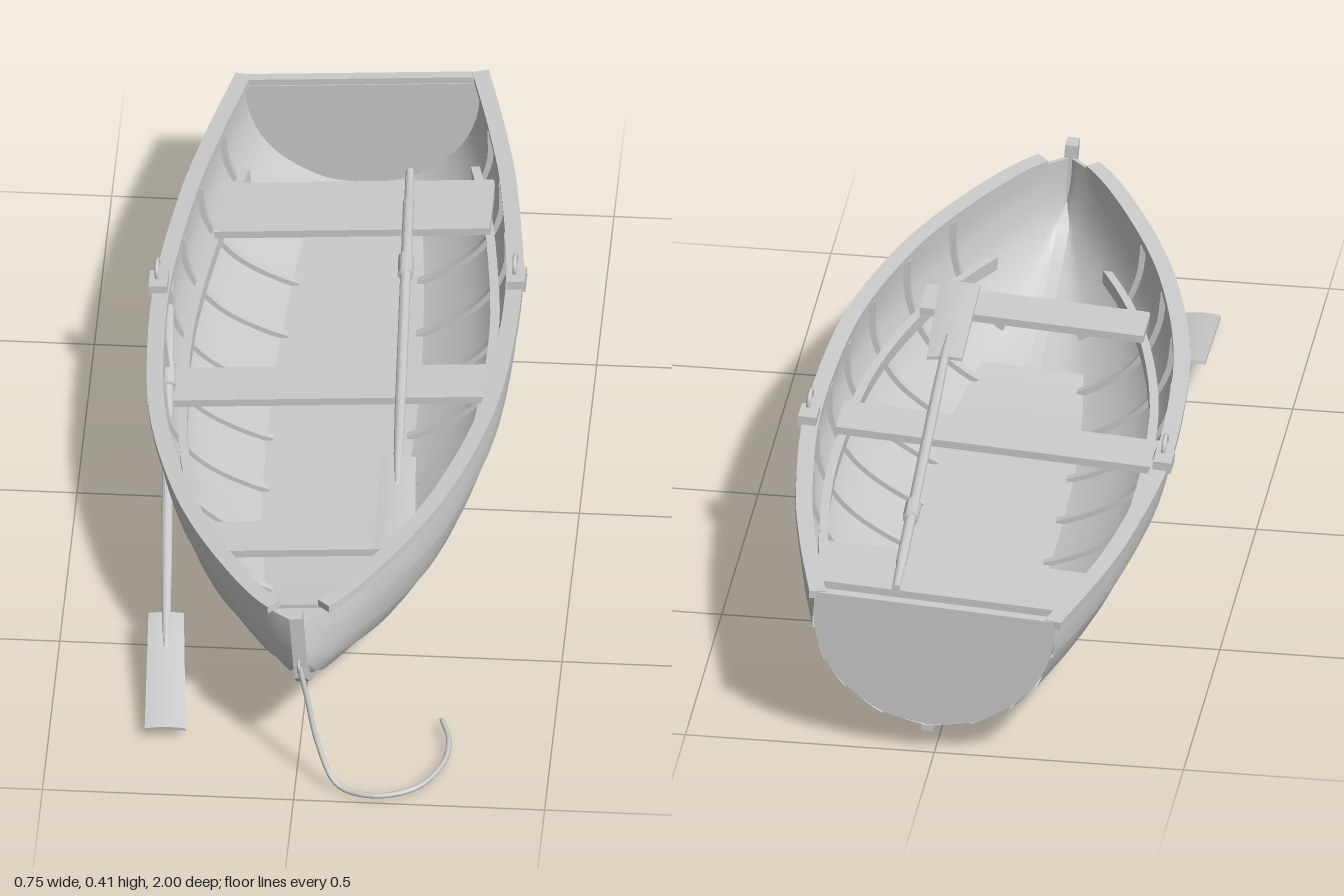
import * as THREE from 'three';
import { toCreasedNormals } from 'three/addons/utils/BufferGeometryUtils.js';

const mat = new THREE.MeshStandardMaterial({ color: 0xcccccc });
const thin = new THREE.MeshStandardMaterial({ color: 0xcccccc, side: THREE.DoubleSide });
const V = (x, y, z) => new THREE.Vector3(x, y, z);
const SIDES = [1, -1];

function add(parent, name, geometry, material = mat, x = 0, y = 0, z = 0) {
  const mesh = new THREE.Mesh(geometry, material);
  mesh.name = name;
  mesh.position.set(x, y, z);
  parent.add(mesh);
  return mesh;
}

// Skin a list of equal-length point rings; closed rings get end caps.
function loft(rings, closed = false) {
  const n = rings[0].length, pos = [], idx = [];
  rings.forEach(r => r.forEach(p => pos.push(p.x, p.y, p.z)));
  for (let i = 0; i < rings.length - 1; i++) {
    for (let j = 0; j < (closed ? n : n - 1); j++) {
      const a = i * n + j, b = i * n + (j + 1) % n;
      idx.push(a, b, a + n, b, b + n, a + n);
    }
  }
  if (closed) {
    const e = (rings.length - 1) * n;
    for (let j = 1; j < n - 1; j++) idx.push(0, j + 1, j, e, e + j, e + j + 1);
  }
  const g = new THREE.BufferGeometry();
  g.setAttribute('position', new THREE.Float32BufferAttribute(pos, 3));
  g.setIndex(idx);
  return toCreasedNormals(g, 0.5);
}

// Hull lines: z, half beam, sheer height, bottom height at each station.
const stations = [
  [-1, 0.24, 0.315, 0.065], [-0.8, 0.288, 0.31, 0.045], [-0.6, 0.325, 0.308, 0.032],
  [-0.3, 0.355, 0.307, 0.03], [0, 0.348, 0.312, 0.03], [0.2, 0.322, 0.317, 0.03],
  [0.4, 0.27, 0.322, 0.036], [0.55, 0.212, 0.326, 0.065], [0.7, 0.135, 0.331, 0.12],
  [0.8, 0.07, 0.334, 0.167], [0.86, 0.008, 0.336, 0.23],
];
const sheer = new THREE.CatmullRomCurve3(stations.map(([z, b, s]) => V(b, s, z)), false, 'catmullrom');
const bottom = new THREE.CatmullRomCurve3(stations.map(([z, , , k]) => V(0, k, z)), false, 'catmullrom');
// Cross-section, one control point per plank edge.
const section = new THREE.SplineCurve([[0, 0], [0.36, 0.06], [0.68, 0.25], [0.87, 0.465], [0.98, 0.74], [1, 1]]
  .map(p => new THREE.Vector2(...p)));

function solve(f, target, lo = 0, hi = 1) {
  for (let i = 0; i < 30; i++) {
    const m = (lo + hi) / 2;
    if (f(m) < target) lo = m; else hi = m;
  }
  return lo;
}
const stationAt = z => solve(t => sheer.getPoint(t).z, z);

// Point on the hull at station t, girth s, moved outward by off.
function hullPoint(t, s, off, side = 1) {
  const top = sheer.getPoint(t), low = bottom.getPoint(t);
  const p = section.getPoint(s), d = section.getTangent(s);
  const h = top.y - low.y;
  const n = new THREE.Vector2(d.y * h, -d.x * top.x).normalize();
  return V(side * Math.max(0, p.x * top.x + n.x * off), low.y + p.y * h + n.y * off, top.z);
}

const range = (a, b, n) => Array.from({ length: n + 1 }, (_, i) => a + (b - a) * i / n);

function buildHull(boat) {
  const inner = -0.012;
  for (const side of SIDES) {
    // Overlapping planks outside, smooth lining inside
    add(boat, 'plankedHull', loft(range(0, 1, 60).map(t => {
      const ring = [];
      for (let k = 0; k < 5; k++) {
        for (const f of range(0, 1, 4)) ring.push(hullPoint(t, (k + f) / 5, 0.006 * (1 - f)));
      }
      for (const s of range(1, 0, 20)) ring.push(hullPoint(t, s, inner));
      ring.forEach(p => { p.x *= side; });
      return ring;
    })), thin);

    // Gunwale rail
    add(boat, 'gunwale', loft(range(0, stationAt(0.82), 48).map(t => {
      const p = sheer.getPoint(t), d = sheer.getTangent(t);
      const n = V(d.z, 0, -d.x).normalize();
      return [[-0.02, 0], [0.013, 0], [0.013, 0.016], [-0.02, 0.016]].map(([o, y]) =>
        V(side * (p.x + n.x * o), p.y + y, p.z + n.z * o));
    }), true), thin);

    // Ribs
    for (let i = 0; i < 9; i++) {
      const z = -0.82 + i * 0.1725, t = stationAt(z);
      add(boat, 'rib', loft(range(0.22, 1, 14).map(s => [[-0.01, -0.008], [-0.01, 0.008], [-0.022, 0.008], [-0.022, -0.008]]
        .map(([o, dz]) => hullPoint(t, s, o, side).add(V(0, 0, dz)))), true), thin);
    }

    // Riser that carries the seats
    add(boat, 'riser', loft(range(stationAt(-0.84), stationAt(0.64), 36).map(t => {
      const s = solve(q => hullPoint(t, q, inner).y, 0.2);
      const p = hullPoint(t, s, -0.02);
      return [[0, -0.016], [0, 0.012], [-0.018, 0.012], [-0.018, -0.016]].map(([dx, dy]) =>
        V(side * (p.x + dx), 0.2 + dy, p.z));
    }), true), thin);

    // Oarlock block and horn
    add(boat, 'oarlockBlock', new THREE.BoxGeometry(0.037, 0.024, 0.055), mat, side * 0.357, 0.329, -0.298);
    add(boat, 'oarlockHorn', new THREE.TorusGeometry(0.021, 0.0045, 8, 20, Math.PI * 1.1).rotateZ(-Math.PI * 0.05).rotateY(Math.PI / 2),
      mat, side * 0.357, 0.363, -0.295);
  }

  // Transom
  const outline = [...range(1, 0, 20).map(s => hullPoint(0, s, 0.002, -1)), ...range(0.05, 1, 19).map(s => hullPoint(0, s, 0.002))];
  const board = new THREE.Shape(outline.map(p => new THREE.Vector2(p.x, p.y)));
  add(boat, 'transom', new THREE.ExtrudeGeometry(board, { depth: 0.022, bevelEnabled: false }), mat, 0, 0, -1);
  add(boat, 'transomCap', new THREE.BoxGeometry(0.49, 0.014, 0.02), mat, 0, 0.322, -0.99);

  // Floorboards
  add(boat, 'floor', loft(range(stationAt(-0.93), stationAt(0.45), 24).map(t => {
    const p = hullPoint(t, 0.24, -0.013);
    return [V(-p.x, p.y, p.z), V(p.x, p.y, p.z), V(p.x, p.y - 0.008, p.z), V(-p.x, p.y - 0.008, p.z)];
  }), true), thin);

  // Keel and stem in one curved piece
  const keel = new THREE.Shape();
  keel.moveTo(-0.98, 0.036);
  keel.lineTo(-0.65, 0);
  keel.lineTo(0.35, 0);
  keel.splineThru([[0.46, 0.02], [0.6, 0.065], [0.75, 0.125], [0.83, 0.168], [0.885, 0.215]].map(p => new THREE.Vector2(...p)));
  keel.lineTo(0.89, 0.364);
  keel.lineTo(0.855, 0.364);
  keel.lineTo(0.85, 0.24);
  keel.splineThru([[0.8, 0.185], [0.7, 0.135], [0.55, 0.08], [0.4, 0.046], [0.3, 0.037]].map(p => new THREE.Vector2(...p)));
  keel.lineTo(-0.6, 0.037);
  keel.lineTo(-0.98, 0.072);
  add(boat, 'keelAndStem', new THREE.ExtrudeGeometry(keel, { depth: 0.025, bevelEnabled: false, curveSegments: 24 })
    .rotateY(-Math.PI / 2), mat, 0.0125, 0, 0);
  add(boat, 'bowRing', new THREE.TorusGeometry(0.011, 0.003, 8, 16).rotateY(Math.PI / 2), mat, 0, 0.25, 0.89);

  // Seats
  for (const [z, width, depth] of [[-0.69, 0.55, 0.165], [-0.095, 0.635, 0.11], [0.42, 0.45, 0.1]]) {
    add(boat, 'seat', new THREE.BoxGeometry(width, 0.016, depth), mat, 0, 0.22, z);
  }
}

// Oar running from the grip end towards the blade tip.
function buildOar(root, name, grip, tip) {
  const oar = new THREE.Group();
  oar.name = name;
  const profile = [[0, 0], [0.008, 0.002], [0.009, 0.1], [0.011, 0.11], [0.011, 0.29], [0.016, 0.292], [0.016, 0.35],
    [0.011, 0.352], [0.011, 0.8], [0.009, 0.98], [0.006, 1.05], [0, 1.06]].map(p => new THREE.Vector2(...p));
  add(oar, 'oarShaft', toCreasedNormals(new THREE.LatheGeometry(profile, 14).rotateX(Math.PI / 2), 0.6));
  const blade = new THREE.BoxGeometry(0.08, 0.007, 0.31, 6, 1, 6);
  const p = blade.attributes.position;
  for (let i = 0; i < p.count; i++) {
    const f = p.getZ(i) / 0.31 + 0.5, x = p.getX(i) * (0.88 + 0.14 * f);
    p.setXYZ(i, x, p.getY(i) - 2.5 * x * x, p.getZ(i));
  }
  add(oar, 'oarBlade', toCreasedNormals(blade, 0.6), mat, 0, 0, 1.115);
  oar.position.copy(grip);
  oar.lookAt(tip);
  root.add(oar);
}

export function createModel() {
  const root = new THREE.Group();
  root.name = 'rowingBoat';

  // The boat lies heeled over on its keel
  const boat = new THREE.Group();
  boat.name = 'boat';
  boat.position.set(0.02, 0.001, 0);
  boat.rotation.z = 0.065;
  root.add(boat);
  buildHull(boat);

  buildOar(root, 'stowedOar', V(0.108, 0.248, -0.79), V(0.165, 0.244, 0.48));
  buildOar(root, 'leaningOar', V(-0.346, 0.275, -0.43), V(-0.268, 0.025, 0.82));

  // Mooring rope hanging from the bow
  const rope = new THREE.CatmullRomCurve3([V(0.003, 0.25, 0.89), V(0.018, 0.19, 0.9), V(0.045, 0.085, 0.93), V(0.085, 0.016, 0.965),
    V(0.16, 0.011, 0.99), V(0.24, 0.016, 0.965), V(0.288, 0.02, 0.89), V(0.296, 0.022, 0.81), V(0.278, 0.022, 0.74)]);
  add(root, 'mooringRope', new THREE.TubeGeometry(rope, 60, 0.0055, 8), thin);
  return root;
}
